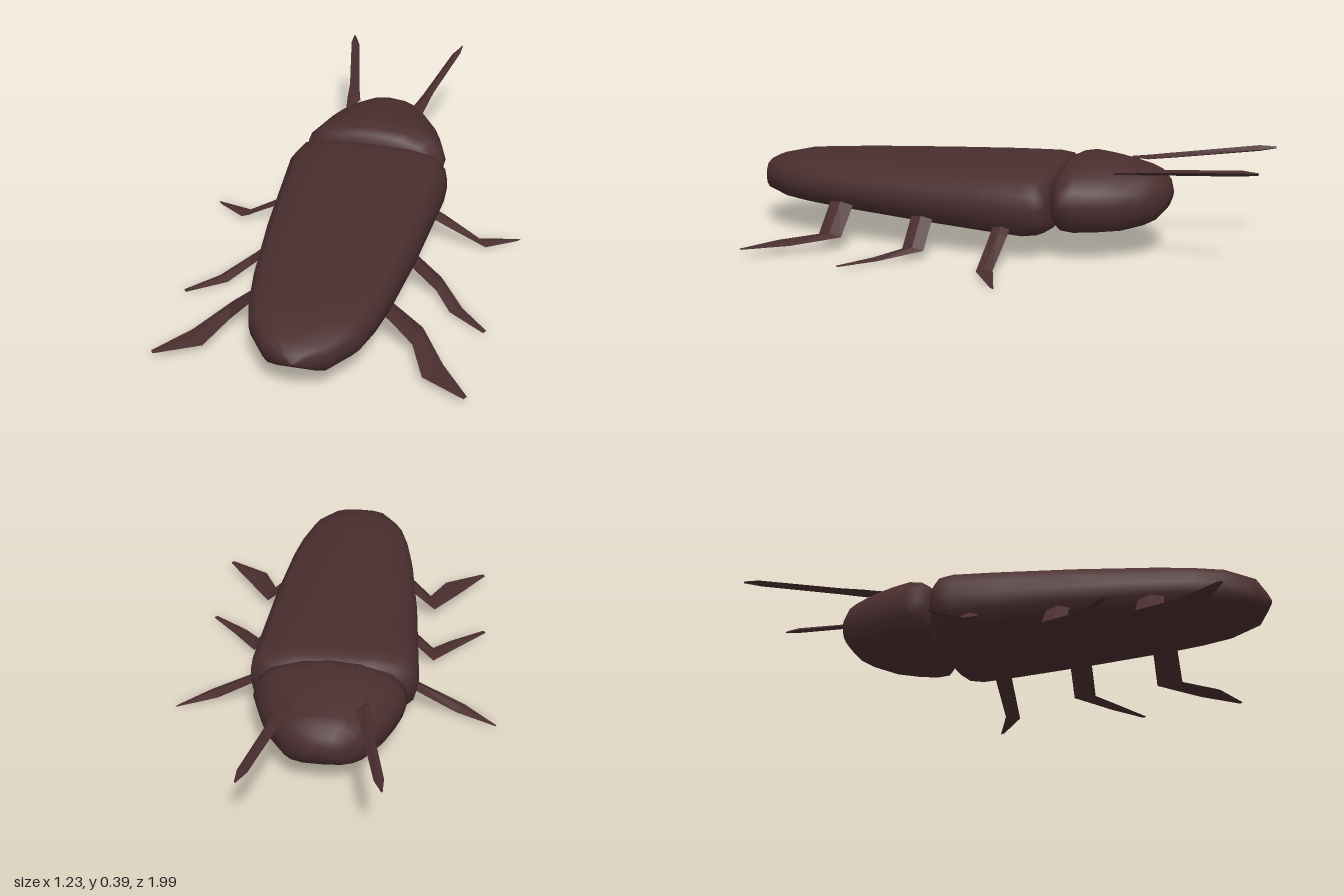
import * as THREE from 'three';

// Skin a list of rings (equal-length arrays of [x, y, z]) and close both ends.
function loft(rings, flat = false) {
  const n = rings[0].length, pos = [], idx = [];
  rings.forEach(r => r.forEach(p => pos.push(...p)));
  for (let i = 0; i < rings.length - 1; i++) {
    for (let j = 0; j < n; j++) {
      const a = i * n + j, b = i * n + (j + 1) % n;
      idx.push(a, b, a + n, b, b + n, a + n);
    }
  }
  [0, rings.length - 1].forEach((r, end) => {
    const c = pos.length / 3;
    pos.push(...[0, 1, 2].map(k => rings[r].reduce((s, p) => s + p[k], 0) / n));
    for (let j = 0; j < n; j++) {
      const a = r * n + j, b = r * n + (j + 1) % n;
      if (end) idx.push(a, b, c); else idx.push(b, a, c);
    }
  });
  // Turn the faces outward if the rings run the other way.
  const v = i => new THREE.Vector3().fromArray(pos, i * 3);
  let volume = 0;
  for (let i = 0; i < idx.length; i += 3) volume += v(idx[i]).dot(v(idx[i + 1]).cross(v(idx[i + 2])));
  if (volume < 0) idx.reverse();
  let g = new THREE.BufferGeometry();
  g.setAttribute('position', new THREE.Float32BufferAttribute(pos, 3));
  g.setIndex(idx);
  if (flat) g = g.toNonIndexed();
  g.computeVertexNormals();
  return g;
}

// Right half of a unit cross-section, from the top round to the belly.
const bodyHalf = [[0, 1], [0.5, 0.96], [0.84, 0.78], [0.97, 0.36], [1, -0.06], [0.97, -0.52], [0.84, -0.88], [0.55, -1], [0, -1]];
const headHalf = [[0, 1], [0.46, 0.91], [0.78, 0.68], [0.95, 0.32], [1, -0.06], [0.95, -0.48], [0.8, -0.83], [0.5, -0.97], [0, -1]];

// Sections are [z, half width, bottom, top].
function shell(sections, half) {
  const outline = [...half, ...half.slice(1, -1).reverse().map(([x, y]) => [-x, y])];
  return loft(sections.map(([z, w, lo, hi]) =>
    outline.map(([x, y]) => [x * w, (lo + hi) / 2 + y * (hi - lo) / 2, z])));
}

// Leg stations are [x, z of the front edge, x, z of the rear edge, y, half thickness].
function blade(stations, side) {
  return loft(stations.map(([xa, za, xb, zb, y, t]) => {
    const x = (xa + xb) / 2, z = (za + zb) / 2;
    return [[xa, y, za], [x + t * 0.6, y + t, z], [xb, y, zb], [x - t * 0.6, y - t, z]]
      .map(p => [p[0] * side, p[1], p[2]]);
  }), true);
}

const LEGS = {
  frontLeg: [
    [0.2, -0.11, 0.2, -0.04, 0.17, 0.012], [0.32, -0.11, 0.32, -0.045, 0.105, 0.01],
    [0.46, -0.103, 0.49, -0.05, 0.018, 0.008], [0.615, -0.157, 0.605, -0.14, 0.003, 0.002]],
  middleLeg: [
    [0.2, 0.2, 0.2, 0.29, 0.17, 0.012], [0.25, 0.2, 0.25, 0.285, 0.14, 0.012],
    [0.36, 0.198, 0.355, 0.283, 0.035, 0.011], [0.45, 0.34, 0.43, 0.365, 0.012, 0.008],
    [0.565, 0.445, 0.555, 0.46, 0.01, 0.002]],
  hindLeg: [
    [0.18, 0.53, 0.18, 0.625, 0.2, 0.012], [0.25, 0.53, 0.25, 0.625, 0.14, 0.012],
    [0.35, 0.53, 0.33, 0.63, 0.055, 0.011], [0.45, 0.69, 0.39, 0.77, 0.035, 0.007],
    [0.555, 0.835, 0.545, 0.85, 0.036, 0.002]],
};
// Let the middle foot stay broad where it bends.
LEGS.middleLeg[3] = [0.46, 0.335, 0.42, 0.37, 0.012, 0.008];

// Antenna stations are [x, y, z, half width, half thickness].
const ANTENNA = [
  [0.15, 0.325, -0.46, 0.004, 0.004], [0.138, 0.332, -0.53, 0.027, 0.009],
  [0.155, 0.342, -0.62, 0.02, 0.01], [0.221, 0.376, -0.93, 0.017, 0.011],
  [0.235, 0.38, -0.99, 0.003, 0.004]];

export function createModel() {
  const model = new THREE.Group();
  const brown = new THREE.MeshStandardMaterial({ color: 0x4a2e2f });
  brown.name = 'dark brown';
  const add = (name, geometry) => {
    const mesh = new THREE.Mesh(geometry, brown);
    mesh.name = name;
    model.add(mesh);
  };

  // Long tapering back and belly
  add('body', shell([
    [-0.245, 0.21, 0.12, 0.3], [-0.235, 0.27, 0.105, 0.31], [-0.205, 0.308, 0.088, 0.329],
    [-0.15, 0.316, 0.08, 0.337], [0, 0.305, 0.086, 0.334], [0.3, 0.284, 0.104, 0.321],
    [0.6, 0.25, 0.122, 0.307], [0.73, 0.226, 0.13, 0.3], [0.84, 0.194, 0.139, 0.293],
    [0.95, 0.118, 0.156, 0.271], [0.985, 0.045, 0.188, 0.235], [1, 0.008, 0.206, 0.214]], bodyHalf));

  // Rounded head, wide at the neck
  add('head', shell([
    [-0.235, 0.21, 0.12, 0.3], [-0.255, 0.235, 0.105, 0.34], [-0.282, 0.28, 0.096, 0.355],
    [-0.33, 0.28, 0.09, 0.364], [-0.4, 0.256, 0.092, 0.358], [-0.48, 0.222, 0.1, 0.346],
    [-0.56, 0.17, 0.122, 0.33], [-0.6, 0.137, 0.142, 0.315], [-0.63, 0.09, 0.175, 0.285],
    [-0.642, 0.055, 0.205, 0.25]], headHalf));

  // Mirrored legs and antennae
  for (const [label, side] of [['left', 1], ['right', -1]]) {
    for (const [leg, stations] of Object.entries(LEGS)) {
      add(`${label} ${leg}`, blade(stations, side));
    }
    add(`${label} antenna`, loft(ANTENNA.map(([x, y, z, w, t]) => [
      [(x - w) * side, y - t * 0.4, z], [x * side, y + t, z],
      [(x + w) * side, y + t * 0.4, z], [x * side, y - t, z]]), true));
  }
  return model;
}
